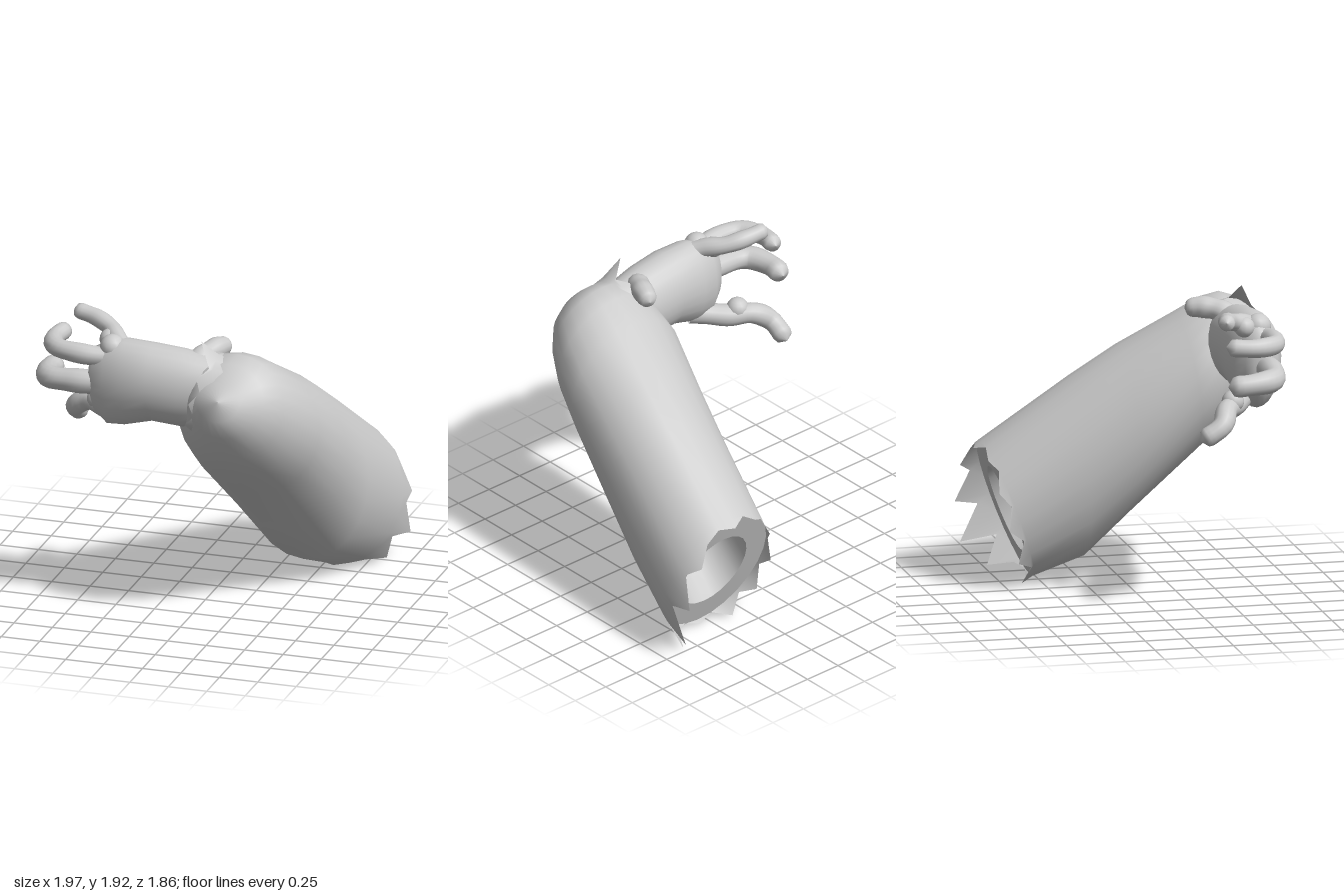
import * as THREE from 'three';

const V = (x, y, z) => new THREE.Vector3(x, y, z);
const mat = new THREE.MeshStandardMaterial({ color: 0xcccccc, side: THREE.DoubleSide });

// Skin a list of closed rings with a smooth surface
function loft(name, rings) {
  const n = rings[0].length, pos = [], idx = [];
  rings.forEach(r => r.forEach(p => pos.push(p.x, p.y, p.z)));
  for (let j = 0; j < rings.length - 1; j++) {
    for (let i = 0; i < n; i++) {
      const a = j * n + i, b = j * n + (i + 1) % n;
      idx.push(a, b, a + n, b, b + n, a + n);
    }
  }
  const g = new THREE.BufferGeometry();
  g.setAttribute('position', new THREE.Float32BufferAttribute(pos, 3));
  g.setIndex(idx);
  g.computeVertexNormals();
  const m = new THREE.Mesh(g, mat);
  m.name = name;
  return m;
}

// Elliptical ring from a centre and two half axes
function ring(c, u, v, n, scale = 1) {
  return Array.from({ length: n }, (_, i) => {
    const a = i / n * Math.PI * 2;
    return c.clone().addScaledVector(u, Math.cos(a) * scale).addScaledVector(v, Math.sin(a) * scale);
  });
}

// Sleeve sections: upper y,z, lower y,z, min x, max x
const SLEEVE = [
  [0.90, -0.85, 0.04, -0.54, 0.16, 0.97],
  [1.30, -0.30, 0.17, -0.24, 0.06, 0.89],
  [1.50, 0.00, 0.45, 0.04, 0.00, 0.85],
  [1.69, 0.33, 0.85, 0.45, -0.09, 0.79],
  [1.79, 0.50, 1.02, 0.66, -0.07, 0.73],
  [1.82, 0.62, 1.20, 0.80, 0.00, 0.66],
  [1.79, 0.72, 1.36, 0.90, 0.07, 0.56],
  [1.70, 0.83, 1.48, 0.94, 0.15, 0.43],
  [1.61, 0.92, 1.60, 0.92, 0.29, 0.30],
];
function sleeveRing([uy, uz, ly, lz, x0, x1], scale) {
  return ring(V((x0 + x1) / 2, (uy + ly) / 2, (uz + lz) / 2), V((x1 - x0) / 2, 0, 0),
    V(0, (uy - ly) / 2, (uz - lz) / 2), 24, scale);
}

// Finger: tapered tube with a rounded tip
function finger(name, pts, r) {
  const curve = new THREE.CatmullRomCurve3(pts.map(p => V(...p)));
  const steps = 24, f = curve.computeFrenetFrames(steps), len = curve.getLength();
  const rings = [];
  for (let j = 0; j <= steps; j++) {
    const t = j / steps, left = (1 - t) * len;
    const k = left < r ? Math.sqrt(Math.max(0.0001, 1 - (1 - left / r) ** 2)) : 1;
    const bulge = 1.08 - 0.14 * t + 0.04 * Math.cos(t * Math.PI * 6);
    rings.push(ring(curve.getPointAt(t), f.normals[j], f.binormals[j], 14, r * k * bulge));
  }
  return loft(name, rings);
}

export function createModel() {
  const model = new THREE.Group();
  model.name = 'sleevedArm';

  // Sleeve with a torn lower hem
  const teeth = [0.1, 0.24, 0.08, 0.14, 0.05, 0.02, 0.06, 0, 0.03, 0, 0.06, 0.02,
    0.09, 0.02, 0.1, 0.02, 0.1, 0, 0.03, 0, 0.04, 0.2, 0.06, 0.3];
  const rings = SLEEVE.map(s => sleeveRing(s));
  const hem = rings[0].map((p, i) => p.clone().add(V(0.02, -0.62, -0.77).multiplyScalar(teeth[i])));
  model.add(loft('sleeve', [hem, ...rings]));

  // Lining that turns inward and runs up inside the sleeve
  model.add(loft('sleeveLining', [
    sleeveRing(SLEEVE[4], 0.3), sleeveRing(SLEEVE[2], 0.5),
    sleeveRing(SLEEVE[1], 0.55), sleeveRing(SLEEVE[0], 0.62),
  ]));
  model.add(loft('hemFold', [sleeveRing(SLEEVE[0], 0.62), rings[0]]));

  // Ragged cuff around the wrist
  const cuff = [[0.34, 0.9], [0.22, 1], [0.13, 1.02]].map(([x, s]) =>
    ring(V(x, 1.55, 0.64), V(0, 0, 0.23), V(0, 0.26, 0), 20, s));
  cuff[2].forEach((p, i) => {
    p.x += (p.y - 1.6) * 0.25 + (i % 2 ? 0.025 : -0.025);
    if (i === 4) p.set(0.12, 1.91, 0.7);
  });
  model.add(loft('cuff', cuff));

  // Palm: x, top y, bottom y, back z, front z
  const palm = [
    [0.30, 1.74, 1.40, 0.52, 0.78], [0.12, 1.79, 1.34, 0.47, 0.81],
    [0.00, 1.82, 1.32, 0.46, 0.83], [-0.20, 1.84, 1.34, 0.46, 0.85],
    [-0.38, 1.85, 1.29, 0.47, 0.83], [-0.50, 1.83, 1.28, 0.50, 0.79],
    [-0.58, 1.78, 1.36, 0.55, 0.76], [-0.61, 1.70, 1.46, 0.60, 0.72],
    [-0.615, 1.60, 1.59, 0.65, 0.66],
  ];
  model.add(loft('palm', palm.map(([x, t, b, z0, z1]) =>
    ring(V(x, (t + b) / 2, (z0 + z1) / 2), V(0, 0, (z1 - z0) / 2), V(0, (t - b) / 2, 0), 24))));

  // Curled fingers
  model.add(finger('topFinger', [[-0.36, 1.76, 0.68], [-0.46, 1.81, 0.58], [-0.54, 1.84, 0.48],
    [-0.64, 1.87, 0.42], [-0.81, 1.90, 0.38]], 0.055));
  model.add(finger('upperFinger', [[-0.42, 1.72, 0.67], [-0.65, 1.74, 0.71], [-0.83, 1.75, 0.67],
    [-0.89, 1.75, 0.53], [-0.86, 1.76, 0.36]], 0.06));
  model.add(finger('middleFinger', [[-0.42, 1.55, 0.67], [-0.70, 1.55, 0.69], [-0.88, 1.54, 0.65],
    [-0.935, 1.53, 0.50], [-0.92, 1.52, 0.36]], 0.072));
  model.add(finger('lowerFinger', [[-0.38, 1.36, 0.62], [-0.58, 1.32, 0.48], [-0.71, 1.32, 0.40],
    [-0.81, 1.25, 0.35], [-0.82, 1.16, 0.21]], 0.066));
  model.add(finger('thumb', [[0.02, 1.70, 0.66], [0.09, 1.76, 0.56], [0.14, 1.78, 0.46],
    [0.18, 1.77, 0.35]], 0.068));

  // Creased knuckles where the outer fingers meet the palm
  for (const [x, y, z, r] of [[-0.47, 1.79, 0.66, 0.08], [-0.52, 1.80, 0.56, 0.065], [-0.63, 1.36, 0.46, 0.07]]) {
    const k = new THREE.Mesh(new THREE.SphereGeometry(r, 14, 10), mat);
    k.name = 'knuckle';
    k.position.set(x, y, z);
    model.add(k);
  }
  return model;
}
